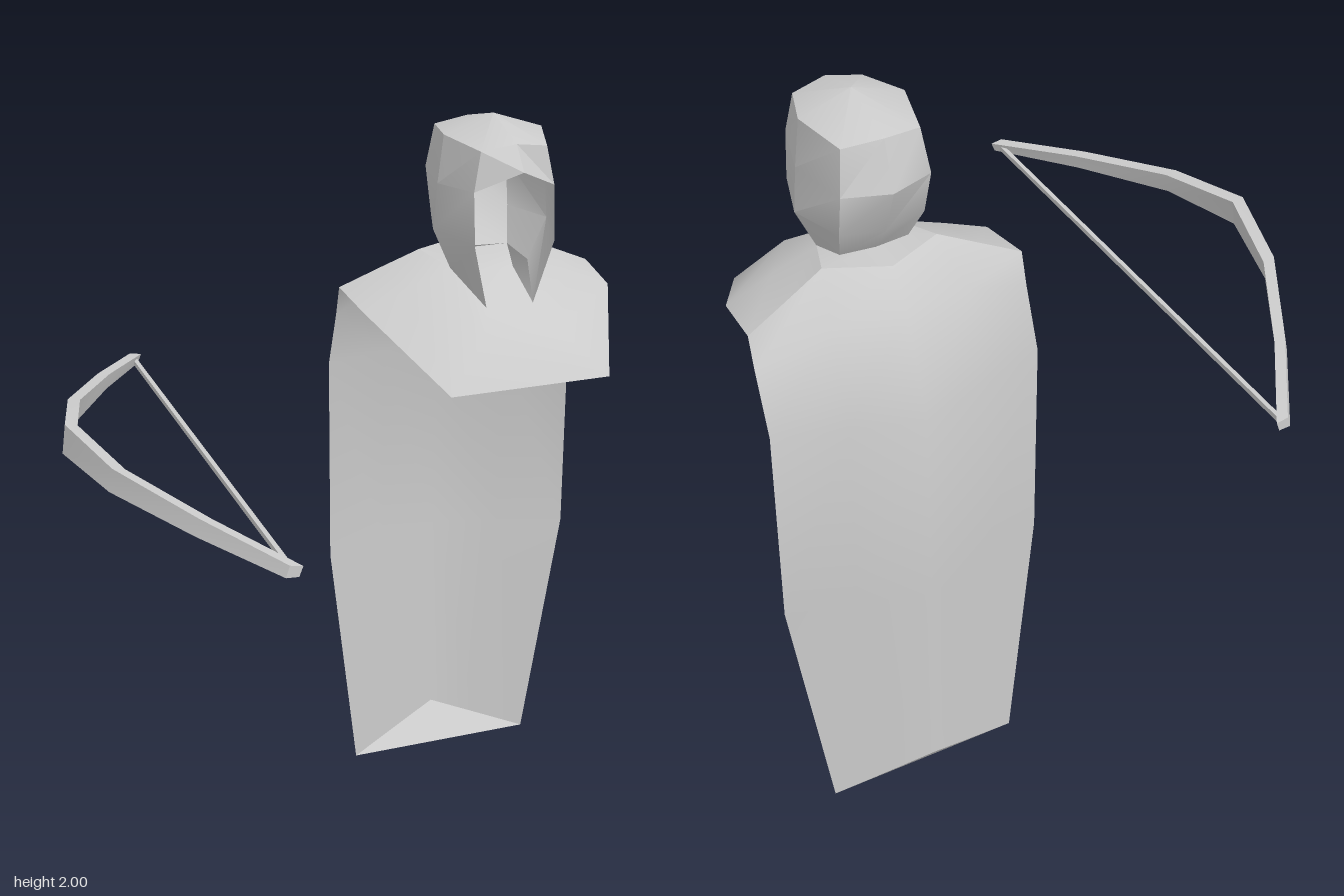
import * as THREE from 'three';
import { toCreasedNormals } from 'three/addons/utils/BufferGeometryUtils.js';

const grey = new THREE.MeshStandardMaterial({ color: 0xcccccc, side: THREE.DoubleSide });

// Joins rows of points [x, y, z] into a surface of quads
function surface(name, rows, crease) {
  const columns = rows[0].length, index = [];
  for (let r = 0; r < rows.length - 1; r++) {
    for (let c = 0; c < columns - 1; c++) {
      const a = r * columns + c, b = a + columns;
      index.push(a, b, a + 1, a + 1, b, b + 1);
    }
  }
  let geometry = new THREE.BufferGeometry();
  geometry.setAttribute('position', new THREE.Float32BufferAttribute(rows.flat(2), 3));
  geometry.setIndex(index);
  geometry = toCreasedNormals(geometry, crease);
  const mesh = new THREE.Mesh(geometry, grey);
  mesh.name = name;
  return mesh;
}

// Completes half rows by reflecting them across x = 0
function mirrored(name, halfRows, crease = 0.9) {
  const rows = halfRows.map((row) => {
    const other = row.map(([x, y, z]) => [-x, y, z]).reverse();
    return [...row, ...(row.at(-1)[0] === 0 ? other.slice(1) : other)];
  });
  return surface(name, rows, crease);
}

function createFigure() {
  const figure = new THREE.Group();
  figure.name = 'cloakedFigure';

  // Hood rows run from the face opening round to the middle of the back
  const neck = [[0.065, 1.53, 0.1], [0.11, 1.6, -0.04], [0.09, 1.62, -0.13], [0, 1.62, -0.14]];
  const cheek = [[0.11, 1.7, 0.12], [0.16, 1.71, -0.04], [0.11, 1.71, -0.18], [0, 1.7, -0.2]];
  const temple = [[0.11, 1.84, 0.105], [0.15, 1.83, -0.04], [0.115, 1.83, -0.21], [0, 1.83, -0.25]];
  const top = [[0.09, 1.94, 0.095], [0.135, 1.955, -0.04], [0.1, 1.945, -0.19], [0, 1.955, -0.21]];
  const browTop = [0, 1.955, 0.11];
  const rim = [browTop, ...top];
  figure.add(
    mirrored('hood', [top, temple, cheek, neck], 0.5),
    mirrored('hoodBrow', [[top[0], browTop], [temple[0], [0, 1.895, 0.16]]], 0.3),
    mirrored('hoodCrown', [rim.map(() => [0, 2, -0.04]), rim], 0.5),
    mirrored('throat', [[neck[0]], [[0.05, 1.6, 0]], [neck[2]]]),
  );

  // Mantle over the shoulders, from collar to hem
  const collar = [[0.15, 1.62, -0.16], neck[1], neck[0]];
  const hem = [[0.36, 1.525, -0.2], [0.35, 1.505, -0.04], [0.22, 1.36, 0.25]];
  const fold = [[0.25, 1.575, -0.18], [0.23, 1.555, -0.04], [0.105, 1.48, 0.18]];
  figure.add(
    mirrored('mantle', [collar, fold, hem]),
    mirrored('collarBack', [
      [neck[1], neck[2], neck[3]],
      [neck[1], collar[0], [0, 1.62, -0.23]],
    ]),
  );

  // Long cape: side edge, halfway, spine
  figure.add(mirrored('cape', [
    [hem[0], collar[0], [0, 1.62, -0.23]],
    [[0.36, 1.44, -0.225], [0.18, 1.52, -0.27], [0, 1.53, -0.3]],
    [[0.36, 1.28, -0.285], [0.18, 1.275, -0.34], [0, 1.27, -0.39]],
    [[0.36, 0.7, -0.28], [0.18, 0.7, -0.335], [0, 0.7, -0.39]],
    [[0.27, 0, -0.31], [0.135, 0.05, -0.348], [0, 0.1, -0.385]],
  ]));
  // Turned-in flap at the bottom of the cape
  figure.add(mirrored('capeHem', [
    [[0.27, 0, -0.31], [0.135, 0.05, -0.348], [0, 0.1, -0.385]],
    [[0.27, 0, -0.31], [0.135, 0, -0.31], [0, 0, -0.31]],
  ]));
  figure.position.x = 0.4;
  return figure;
}

function createBow() {
  const bow = new THREE.Group();
  bow.name = 'bow';

  // Limb stations: outer x, bottom y, top y, z
  const half = [
    [-0.418, 1.18, 1.21, 0.73],
    [-0.565, 1.205, 1.25, 0.5],
    [-0.705, 1.23, 1.29, 0.24],
  ];
  const stations = [
    ...half,
    [-0.765, 1.243, 1.32, 0],
    ...half.map(([x, low, high, z]) => [x, low, high, -z]).reverse(),
  ];
  const rows = stations.map(([x, low, high, z]) => {
    const ring = [[x, low, z], [x + 0.01, high, z], [x + 0.042, high - 0.006, z], [x + 0.032, low - 0.002, z]];
    return [...ring, ring[0]];
  });
  // Collapsed end rows close the tips
  const cap = (row) => row.map(() => [0, 1, 2].map((k) => (row[0][k] + row[2][k]) / 2));
  bow.add(surface('bowLimbs', [cap(rows[0]), ...rows, cap(rows.at(-1))], 0.4));

  const string = new THREE.Mesh(new THREE.BoxGeometry(0.012, 0.014, 1.44), grey);
  string.name = 'bowString';
  string.position.set(-0.4, 1.193, 0);
  bow.add(string);
  return bow;
}

export function createModel() {
  const model = new THREE.Group();
  model.name = 'hoodedArcher';
  model.add(createFigure(), createBow());
  return model;
}
